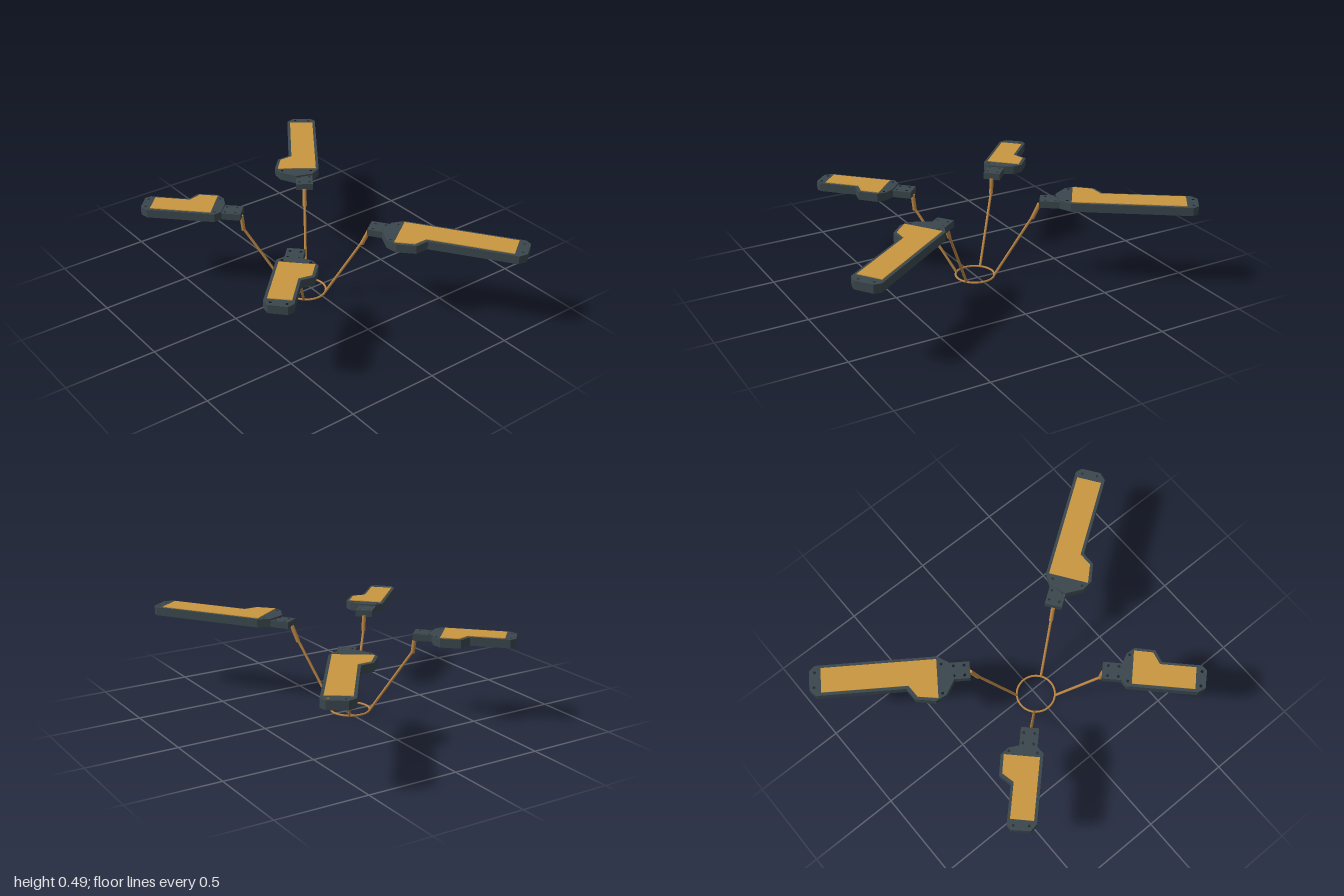
import * as THREE from 'three';

const dark = new THREE.MeshStandardMaterial({ color: 0x3a474c });
dark.name = 'dark slate';
const gold = new THREE.MeshStandardMaterial({ color: 0xc8963f });
gold.name = 'golden panel';
const brass = new THREE.MeshStandardMaterial({ color: 0xb98442 });
brass.name = 'brass rod';

const BASE = 0.437; // underside of pads and brackets

function mesh(name, geometry, material) {
  const m = new THREE.Mesh(geometry, material);
  m.name = name;
  return m;
}

// Flat slab from a plan outline (u outward, v sideways) with round through holes
function slab(name, points, holes, side, bottom, top, material) {
  const shape = new THREE.Shape(points.map(([u, v]) => new THREE.Vector2(u, v * side)));
  for (const [u, v] of holes) {
    const hole = new THREE.Path();
    hole.absarc(u, v * side, 0.008, 0, Math.PI * 2, true);
    shape.holes.push(hole);
  }
  const g = new THREE.ExtrudeGeometry(shape, { depth: top - bottom, bevelEnabled: false, curveSegments: 6 });
  g.rotateX(Math.PI / 2);
  g.translate(0, top, 0);
  return mesh(name, g, material);
}

// Round bar between two points in the arm's vertical plane
function bar(name, [u0, y0], [u1, y1], radius) {
  const a = new THREE.Vector3(u0, y0, 0);
  const d = new THREE.Vector3(u1, y1, 0).sub(a);
  const m = mesh(name, new THREE.CylinderGeometry(radius, radius, d.length(), 12), brass);
  m.position.copy(a).addScaledVector(d, 0.5);
  m.quaternion.setFromUnitVectors(new THREE.Vector3(0, 1, 0), d.normalize());
  return m;
}

const LONG = {
  outline: [[0.455, -0.047], [0.518, -0.085], [1.157, -0.085], [1.186, -0.057], [1.186, 0.048],
    [1.15, 0.083], [0.682, 0.083], [0.638, 0.145], [0.535, 0.162], [0.478, 0.133], [0.43, 0.047]],
  panel: [[0.52, -0.069], [1.125, -0.069], [1.125, 0.067], [0.672, 0.067], [0.627, 0.131], [0.52, 0.147]],
  holes: [[1.157, -0.046], [1.162, 0.036], [0.496, -0.04], [0.497, 0.122]],
  elbow: 0.31, top: 0.348,
};
const SHORT = {
  outline: [[0.45, -0.047], [0.482, -0.081], [0.85, -0.081], [0.889, -0.054], [0.892, 0.045],
    [0.865, 0.07], [0.655, 0.07], [0.616, 0.133], [0.507, 0.136], [0.467, 0.1], [0.45, 0.047]],
  panel: [[0.505, -0.065], [0.836, -0.065], [0.836, 0.056], [0.645, 0.056], [0.606, 0.118], [0.505, 0.12]],
  holes: [[0.863, -0.045], [0.867, 0.036], [0.483, -0.052], [0.484, 0.095]],
  elbow: 0.342, top: 0.352,
};

// One radial arm: rod, socket, bracket and offset pad
function arm(name, kind, degrees, side) {
  const g = new THREE.Group();
  g.name = name;
  g.add(bar('rod', [0.108, 0.008], [kind.elbow, 0.362], 0.0075));
  g.add(bar('socket', [kind.elbow, 0.355], [kind.top, BASE + 0.006], 0.0115));

  const s = 0.028;
  const end = kind.outline[0][0] + 0.002;
  g.add(slab('bracket', [[0.348, -0.047], [end, -0.047], [end, 0.047], [0.348, 0.047]],
    [[0.405 - s, -s], [0.405 - s, s], [0.405 + s, -s], [0.405 + s, s]], side, BASE, 0.474, dark));
  g.add(slab('pad', kind.outline, kind.holes, side, BASE, 0.483, dark));
  g.add(slab('panel', kind.panel, [], side, 0.482, 0.487, gold));
  g.rotation.y = THREE.MathUtils.degToRad(degrees);
  return g;
}

export function createModel() {
  const model = new THREE.Group();
  model.name = 'radialPadStand';

  // Base ring
  const ring = mesh('baseRing', new THREE.TorusGeometry(0.107, 0.006, 10, 48), brass);
  ring.rotation.x = Math.PI / 2;
  ring.position.y = 0.006;
  model.add(ring);

  // Long arms at the back, short arms at the front
  model.add(arm('backLeftArm', LONG, 35, 1));
  model.add(arm('backRightArm', LONG, 145, -1));
  model.add(arm('frontLeftArm', SHORT, -45, -1));
  model.add(arm('frontRightArm', SHORT, 225, 1));

  // The ring sits slightly forward of the centre
  for (const part of model.children) part.position.z = 0.032;
  return model;
}
